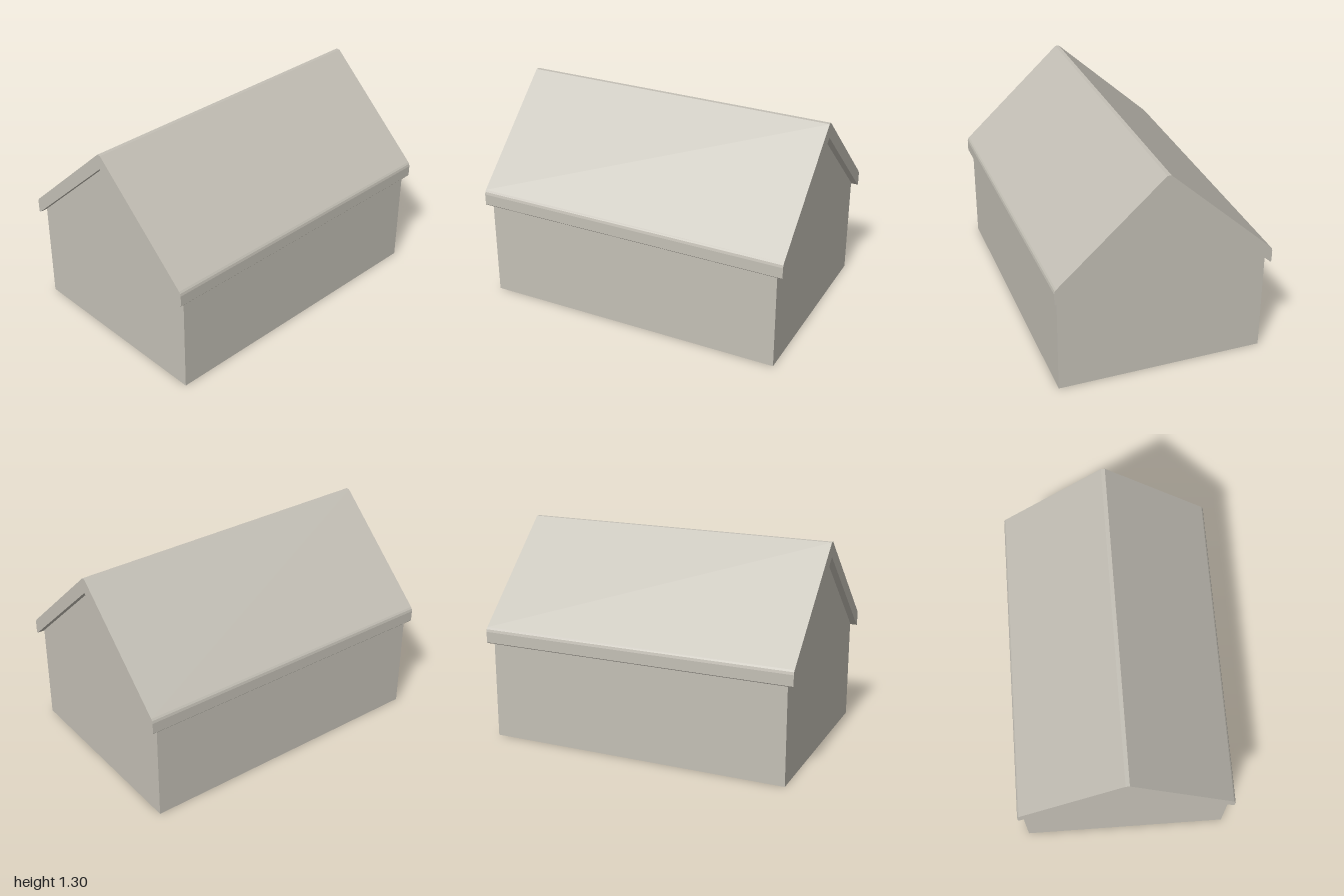
import * as THREE from 'three';

// Extrudes a profile that is mirrored about x = 0, centred along z.
// Points run from the top centre down the +x side to the bottom centre.
function mirroredPrism(half, depth, material, name) {
  const left = half.filter(([x]) => x > 0).reverse().map(([x, y]) => [-x, y]);
  const outline = [...half, ...left].map(([x, y]) => new THREE.Vector2(x, y));
  const geometry = new THREE.ExtrudeGeometry(new THREE.Shape(outline), { depth, bevelEnabled: false });
  geometry.translate(0, 0, -depth / 2);
  const mesh = new THREE.Mesh(geometry, material);
  mesh.name = name;
  return mesh;
}

export function createModel() {
  const group = new THREE.Group();
  group.name = 'house';
  const stone = new THREE.MeshStandardMaterial({ color: 0xc4c0b6 });
  stone.name = 'warm grey';

  // Gabled walls
  group.add(mirroredPrism([[0, 1.215], [0.64, 0.63], [0.64, 0], [0, 0]], 1.92, stone, 'walls'));

  // Roof slab with a blunted ridge and softened eaves
  const roof = [
    [0.012, 1.305], [0.652, 0.717], [0.66, 0.706], [0.664, 0.69],
    [0.664, 0.622], [0.66, 0.617], [0.654, 0.618], [0, 1.215],
  ];
  group.add(mirroredPrism(roof, 2, stone, 'roof'));

  return group;
}
